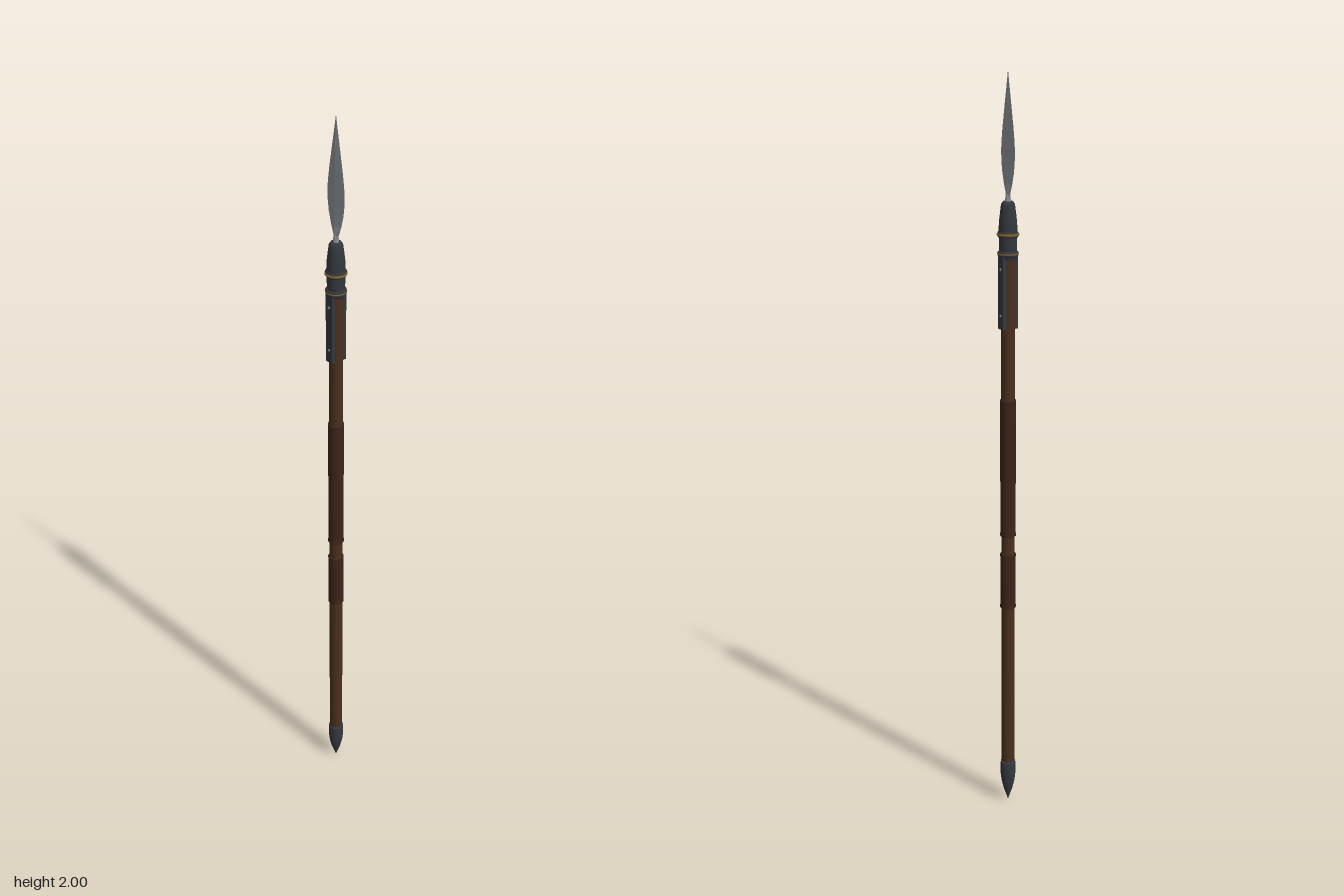
import * as THREE from 'three';

const mat = (name, color, side = THREE.FrontSide) => {
  const m = new THREE.MeshStandardMaterial({ color, side });
  m.name = name;
  return m;
};

export function createModel() {
  const wood = mat('brown wood', 0x4a2f1d);
  const leather = mat('dark leather', 0x3d2419);
  const steel = mat('blade steel', 0x8e9299);
  const iron = mat('dark iron', 0x34383e);
  const brass = mat('aged brass', 0x80622e);
  const rivetSteel = mat('rivet steel', 0x7c8896);

  const model = new THREE.Group();
  model.name = 'spear';
  const add = (name, geometry, material, parent = model) => {
    const mesh = new THREE.Mesh(geometry, material);
    mesh.name = name;
    parent.add(mesh);
    return mesh;
  };
  // Turned part from [radius, height] points, listed from bottom to top
  const turned = (name, points, material) =>
    add(name, new THREE.LatheGeometry(points.map(p => new THREE.Vector2(...p)), 24), material);
  const band = (name, y0, y1, r, material, bevel = 0.003) =>
    turned(name, [[0.012, y0], [r - bevel, y0], [r, y0 + bevel], [r, y1 - bevel], [r - bevel, y1], [0.012, y1]], material);

  // Wooden shaft
  add('shaft', new THREE.CylinderGeometry(0.018, 0.018, 1.46, 24), wood).position.y = 0.83;

  // Leather grips, each with a thin binding at both ends
  for (const [name, y0, y1] of [['upperGrip', 0.785, 1.16], ['lowerGrip', 0.58, 0.735]]) {
    band(name, y0, y1, 0.0205, leather, 0.001);
    for (const y of [y0, y1 - 0.008]) band(name + 'Binding', y, y + 0.008, 0.0212, leather, 0.001);
  }

  // Pointed iron butt
  turned('buttCap', [[0, 0], [0.004, 0.012], [0.012, 0.035], [0.018, 0.06], [0.021, 0.085],
    [0.0205, 0.115], [0.019, 0.122], [0.012, 0.122]], iron);

  // Socket, collars and brass trim
  turned('socket', [[0.012, 1.53], [0.0215, 1.53], [0.0225, 1.56], [0.024, 1.6], [0.023, 1.625],
    [0.0195, 1.655], [0.0175, 1.67], [0.013, 1.677], [0, 1.678]], iron);
  band('upperCollar', 1.586, 1.602, 0.0265, iron);
  band('upperBrassRing', 1.59, 1.597, 0.0285, brass, 0.002);
  band('lowerCollar', 1.537, 1.552, 0.0265, iron);
  band('lowerBrassRing', 1.542, 1.547, 0.0275, brass, 0.0015);

  // Langets riveted to the front and back of the shaft
  for (const [side, turn] of [['front', 0], ['back', Math.PI]]) {
    const langet = new THREE.Group();
    langet.name = side + 'Langet';
    langet.rotation.y = turn;
    model.add(langet);
    add('langetPlate', new THREE.BoxGeometry(0.025, 0.19, 0.01), iron, langet).position.set(0, 1.445, 0.0175);
    for (const y of [1.385, 1.505]) {
      const rivet = add('rivet', new THREE.SphereGeometry(0.004, 12, 8), rivetSteel, langet);
      rivet.position.set(0, y, 0.0225);
      rivet.scale.z = 0.7;
    }
  }

  // Leaf blade with a diamond section: [height, half width, half thickness]
  const sections = [[1.67, 0.004, 0.008], [1.695, 0.01, 0.0068], [1.72, 0.0195, 0.0055],
    [1.75, 0.0275, 0.0048], [1.775, 0.031, 0.0045], [1.8, 0.0322, 0.0043], [1.825, 0.0305, 0.004],
    [1.86, 0.0255, 0.0036], [1.91, 0.0165, 0.003], [1.96, 0.0072, 0.0018], [2, 0, 0]];
  const ring = ([y, w, t]) => [[w, y, 0], [0, y, t], [-w, y, 0], [0, y, -t]];
  const positions = [];
  for (let i = 0; i < sections.length - 1; i++) {
    const low = ring(sections[i]), high = ring(sections[i + 1]);
    for (let k = 0; k < 4; k++) {
      const n = (k + 1) % 4;
      // Ring corners run from +x through +z, so this order faces outwards
      positions.push(...low[k], ...high[k], ...low[n]);
      if (i < sections.length - 2) positions.push(...low[n], ...high[k], ...high[n]);
    }
  }
  const bladeGeometry = new THREE.BufferGeometry();
  bladeGeometry.setAttribute('position', new THREE.Float32BufferAttribute(positions, 3));
  bladeGeometry.computeVertexNormals();
  add('blade', bladeGeometry, steel);

  // Tapered neck that runs from the socket into the blade
  add('bladeNeck', new THREE.CylinderGeometry(0.003, 0.0085, 0.055, 16), steel).position.y = 1.6975;

  return model;
}
